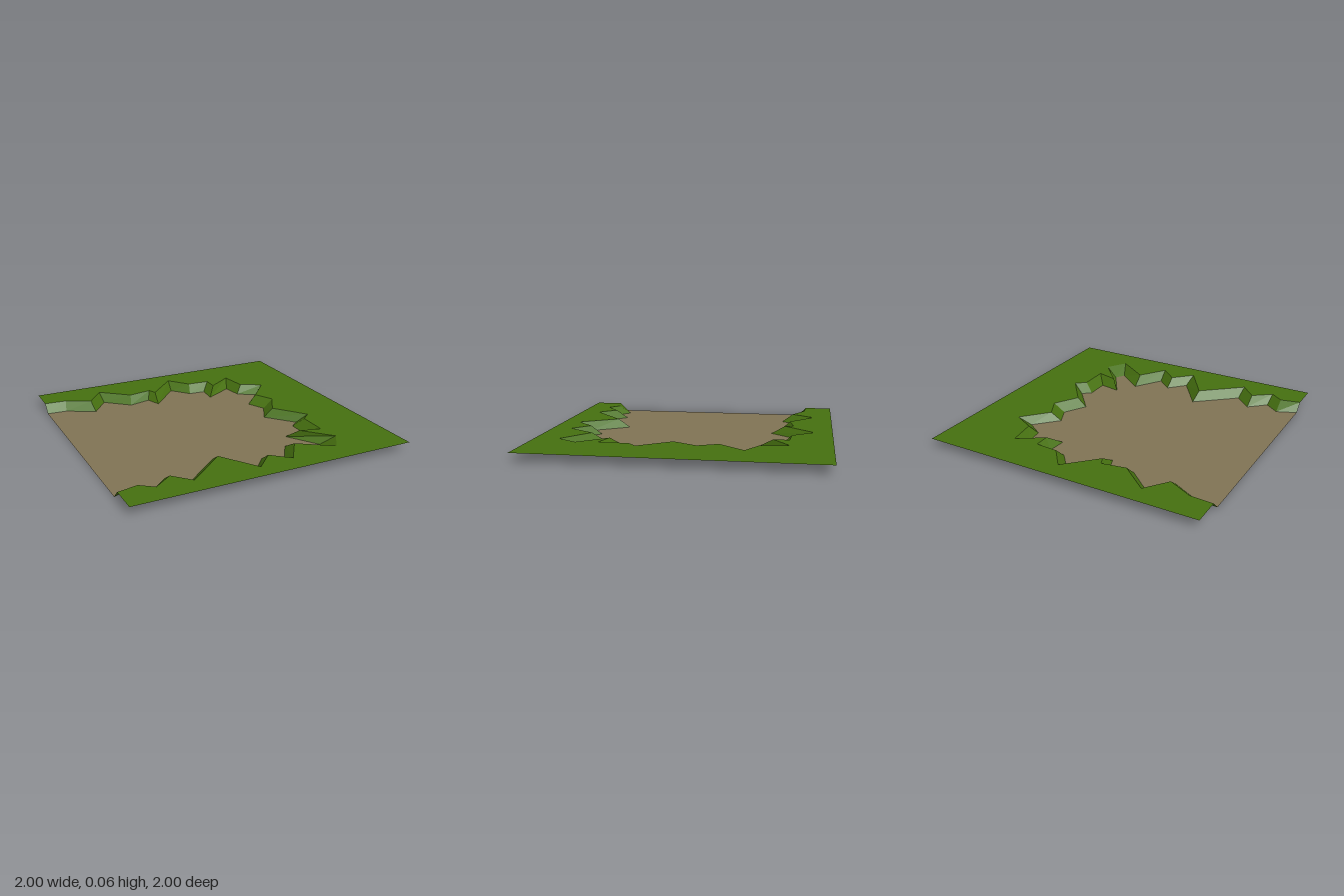
import * as THREE from 'three';

const BANK_HEIGHT = 0.06;

// Matching points along the bank, clockwise from the back left corner:
// [foot x, foot z, rim x, rim z]
const BANK = [
  [-1, -0.74, -1, -0.80], [-0.86, -0.73, -0.84, -0.79], [-0.66, -0.62, -0.67, -0.70],
  [-0.54, -0.78, -0.55, -0.86], [-0.37, -0.63, -0.35, -0.69], [-0.21, -0.67, -0.18, -0.72],
  [-0.17, -0.56, -0.155, -0.66], [0.04, -0.79, 0.05, -0.87], [0.15, -0.66, 0.17, -0.72],
  [0.27, -0.65, 0.33, -0.71], [0.26, -0.51, 0.33, -0.60], [0.47, -0.63, 0.51, -0.72],
  [0.49, -0.48, 0.54, -0.52], [0.61, -0.40, 0.69, -0.44], [0.46, -0.24, 0.53, -0.26],
  [0.52, -0.11, 0.60, -0.12], [0.43, 0.05, 0.50, 0.05], [0.59, 0.24, 0.67, 0.27],
  [0.53, 0.29, 0.60, 0.33], [0.53, 0.46, 0.60, 0.54], [0.38, 0.43, 0.45, 0.50],
  [0.52, 0.65, 0.62, 0.69], [0.48, 0.72, 0.53, 0.83], [0.29, 0.57, 0.30, 0.67],
  [0.16, 0.77, 0.17, 0.86], [0.05, 0.67, 0.05, 0.75], [-0.06, 0.79, -0.08, 0.88],
  [-0.24, 0.53, -0.25, 0.62], [-0.52, 0.77, -0.53, 0.86], [-0.64, 0.65, -0.64, 0.74],
  [-0.76, 0.76, -0.77, 0.84], [-0.86, 0.68, -0.86, 0.77], [-1, 0.74, -1, 0.80],
];

// Flat horizontal sheet from an outline of [x, z] points
function sheet(points, y) {
  const shape = new THREE.Shape(points.map(([x, z]) => new THREE.Vector2(x, -z)));
  return new THREE.ShapeGeometry(shape).rotateX(-Math.PI / 2).translate(0, y, 0);
}

// Faceted slope joining the foot line to the rim line
function slope() {
  const positions = [];
  for (let i = 0; i < BANK.length - 1; i++) {
    const [ax, az, cx, cz] = BANK[i];
    const [bx, bz, dx, dz] = BANK[i + 1];
    const a = [ax, 0, az], b = [bx, 0, bz];
    const c = [cx, BANK_HEIGHT, cz], d = [dx, BANK_HEIGHT, dz];
    positions.push(...a, ...b, ...d, ...a, ...d, ...c);
  }
  const geometry = new THREE.BufferGeometry();
  geometry.setAttribute('position', new THREE.Float32BufferAttribute(positions, 3));
  geometry.computeVertexNormals();
  return geometry;
}

export function createModel() {
  const flat = (name, color) => {
    const material = new THREE.MeshStandardMaterial({ color, side: THREE.DoubleSide, flatShading: true });
    material.name = name;
    return material;
  };
  const grass = flat('grass green', 0x467010);
  const dirt = flat('dirt brown', 0x807455);

  const model = new THREE.Group();
  model.name = 'dirtPathEndTile';
  const add = (name, geometry, material) => {
    const mesh = new THREE.Mesh(geometry, material);
    mesh.name = name;
    model.add(mesh);
  };

  // Sunken dirt floor, open on the left edge of the tile
  add('dirtFloor', sheet(BANK.map(([x, z]) => [x, z]), 0), dirt);

  // Raised grass wrapping around three sides of the dirt
  const rim = BANK.map(([, , x, z]) => [x, z]);
  add('grassTop', sheet([[-1, -1], ...rim, [-1, 1], [1, 1], [1, -1]], BANK_HEIGHT), grass);

  // Jagged grassy bank between the two levels
  add('grassBank', slope(), grass);

  return model;
}
